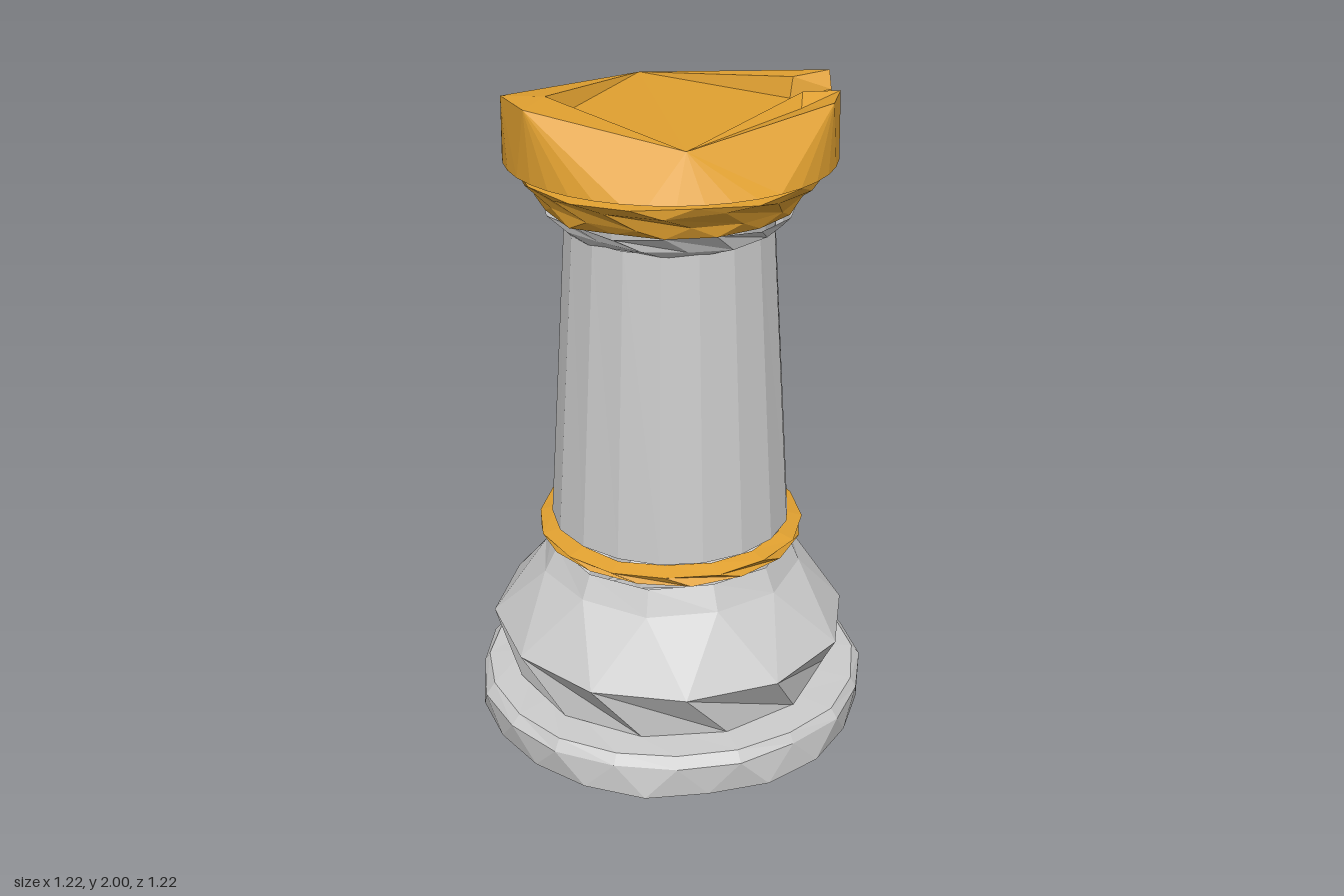
import * as THREE from 'three';

const gold = new THREE.MeshStandardMaterial({ color: 0xe0a030, flatShading: true, side: THREE.DoubleSide });
const grey = new THREE.MeshStandardMaterial({ color: 0xcccccc, flatShading: true, side: THREE.DoubleSide });

// Small seeded generator, returns -1..1
function seeded(seed) {
  let s = seed;
  return () => {
    s = (s * 16807) % 2147483647;
    return (s / 2147483647) * 2 - 1;
  };
}

function meshFrom(name, positions, material) {
  const g = new THREE.BufferGeometry();
  g.setAttribute('position', new THREE.Float32BufferAttribute(positions, 3));
  g.computeVertexNormals();
  const m = new THREE.Mesh(g, material);
  m.name = name;
  return m;
}

// Faceted band: rings are [radius, y, twist in steps]; radii and heights wobble slightly.
// Angles start at the front (+z) and run towards +x.
function facetedStack(name, material, rings, sides, wobbleR = 0, wobbleY = 0, seed = 7) {
  const rnd = seeded(seed);
  const loops = rings.map(([r, y, twist = 0]) =>
    Array.from({ length: sides }, (_, i) => {
      const a = ((i + twist) / sides) * Math.PI * 2;
      const rr = r * (1 + wobbleR * rnd());
      return [Math.sin(a) * rr, Math.max(0, y + wobbleY * rnd()), Math.cos(a) * rr];
    }));
  const pos = [];
  for (let k = 0; k < loops.length - 1; k++) {
    const lo = loops[k], hi = loops[k + 1];
    for (let i = 0; i < sides; i++) {
      const j = (i + 1) % sides;
      pos.push(...lo[i], ...lo[j], ...hi[i], ...lo[j], ...hi[j], ...hi[i]);
    }
  }
  return meshFrom(name, pos, material);
}

// Battlement: a broad round brim rising in slanted facets to an irregular rim
function crown() {
  const B = [0.21, 1.925, 0.35], H = [0.474, 1.99, -0.04], G = [0.455, 2, -0.14];
  const G2 = [0.45, 1.91, -0.15], E2 = [0.362, 1.95, -0.325], E = [0.345, 2, -0.35];
  const A = [-0.25, 1.94, -0.31], P = [-0.37, 2, 0.31], Q = [-0.24, 2, 0.415];
  const C = [0.265, 1.99, -0.265], C2 = [0.263, 1.93, -0.25];
  const F = [0.345, 1.985, -0.135], F2 = [0.335, 1.91, -0.145], J = [0.36, 1.95, -0.09];
  const D = [-0.255, 2, 0.265], D2 = [-0.23, 1.94, 0.27];
  const pos = [];
  // The crown is a height field, so every facet is turned to face upwards
  const tri = (a, b, c) => {
    const ny = (b[2] - a[2]) * (c[0] - a[0]) - (b[0] - a[0]) * (c[2] - a[2]);
    if (ny >= 0) pos.push(...a, ...b, ...c);
    else pos.push(...a, ...c, ...b);
  };

  // Floor, left block, right blocks with the notch between them
  [
    [A, B, C2], [A, D2, B],
    [A, D2, D], [D2, B, D], [D, P, Q], [A, D, P], [D, Q, B],
    [A, C2, C], [A, C, E], [C, C2, E2], [C, E2, E],
    [C2, F2, G2], [C2, G2, E2], [F2, F, G], [F2, G, G2],
    [C2, F2, B], [F2, F, B], [F, J, B], [F, J, G], [J, G, H], [J, H, B],
  ].forEach((t) => tri(...t));

  // Outer skirt: each brim segment joins the rim corner nearest in angle
  const rim = [B, H, G, G2, E2, E, A, P, Q];
  const n = 40, r = 0.48, y = 1.8;
  const brim = Array.from({ length: n }, (_, i) => {
    const a = (i / n) * Math.PI * 2;
    return [Math.sin(a) * r, y, Math.cos(a) * r];
  });
  const angle = (p) => Math.atan2(p[0], p[2]);
  const gap = (p, q) => Math.abs(Math.atan2(Math.sin(angle(p) - angle(q)), Math.cos(angle(p) - angle(q))));
  const nearest = (p) => rim.reduce((best, q, i) => (gap(p, q) < gap(p, rim[best]) ? i : best), 0);
  for (let i = 0; i < n; i++) {
    const p = brim[i], q = brim[(i + 1) % n];
    const end = nearest(q);
    let k = nearest(p);
    tri(p, q, rim[k]);
    while (k !== end) {
      const next = (k + 1) % rim.length;
      tri(q, rim[next], rim[k]);
      k = next;
    }
    // Underside of the brim
    pos.push(...q, ...p, 0, y, 0);
  }
  return meshFrom('crown', pos, gold);
}

export function createModel() {
  const model = new THREE.Group();
  model.name = 'rook';

  // Base plate with closed underside
  model.add(facetedStack('basePlate', grey,
    [[0, 0], [0.605, 0], [0.612, 0.1, 0.5], [0.59, 0.132, 0.5], [0.47, 0.138, 0.5]], 20, 0.015, 0.004, 11));

  // Bulging foot
  model.add(facetedStack('foot', grey,
    [[0.5, 0.14, 0.5], [0.557, 0.31, 0], [0.41, 0.505, 0.5], [0.375, 0.582, 0.5]], 12, 0.012, 0.006, 23));

  // Lower gold collar
  model.add(facetedStack('lowerCollar', gold,
    [[0.36, 0.602], [0.408, 0.612, 0.5], [0.412, 0.638, 0], [0.36, 0.652, 0]], 16, 0.012, 0.003, 31));

  // Tapered shaft
  model.add(facetedStack('shaft', grey, [[0.37, 0.662], [0.308, 1.605]], 18, 0.006, 0, 41));

  // Flared neck
  model.add(facetedStack('neck', grey,
    [[0.306, 1.595], [0.335, 1.62, 0.5], [0.372, 1.663, 0]], 16, 0.015, 0.01, 53));

  // Upper gold collar
  model.add(facetedStack('upperCollar', gold,
    [[0.37, 1.668], [0.385, 1.7, 0.5], [0.432, 1.752, 0], [0.45, 1.775, 0.5], [0.36, 1.778, 0.5]], 16, 0.02, 0.006, 67));

  model.add(crown());
  return model;
}
